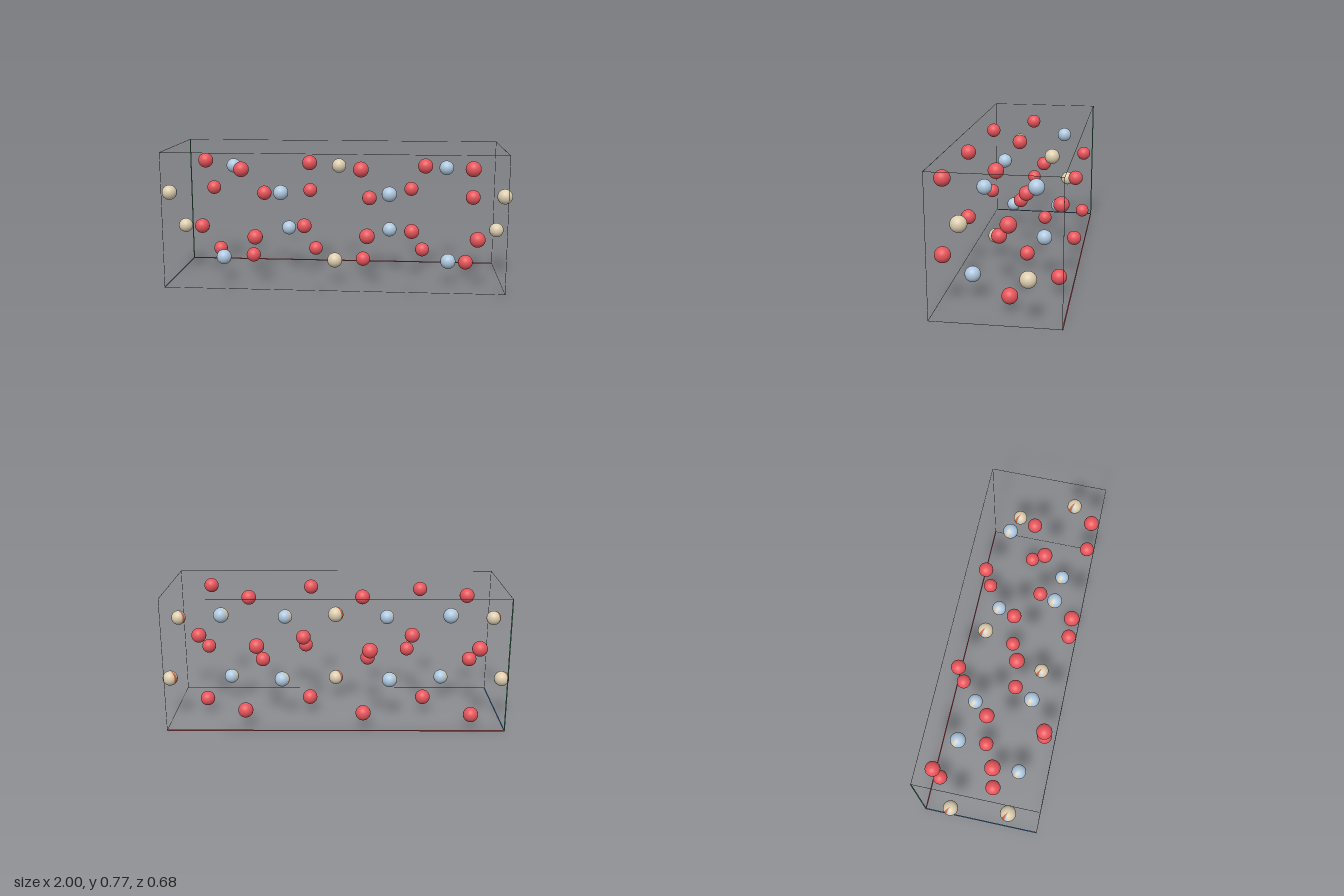
import * as THREE from 'three';

const paint = (name, color) => {
  const m = new THREE.MeshStandardMaterial({ color });
  m.name = name;
  return m;
};

export function createModel() {
  const model = new THREE.Group();
  model.name = 'crystalCell';
  const red = paint('red', 0xe6555b);
  const blue = paint('paleBlue', 0xafc8df);
  const tan = paint('tan', 0xdccdaf);
  const orange = paint('orange', 0xc8663c);
  const edge = paint('grey', 0x555555);
  const axisRed = paint('axisRed', 0xc9505a);
  const axisGreen = paint('axisGreen', 0x4f9a6c);
  const axisBlue = paint('axisBlue', 0x4f86bd);

  const R = 0.043;
  const whole = new THREE.SphereGeometry(R, 32, 24);
  const add = (parent, geometry, material, name) => {
    const mesh = new THREE.Mesh(geometry, material);
    mesh.name = name;
    parent.add(mesh);
    return mesh;
  };

  // Mixed sites: spheres cut like an orange into coloured sectors, [material, share]
  const mixedAtom = (name, shares, x, y, z) => {
    const atom = new THREE.Group();
    atom.name = name;
    let start = 0;
    for (const [material, share] of shares) {
      const sweep = share * Math.PI * 2;
      const sector = new THREE.SphereGeometry(R, Math.ceil(share * 36), 24, start, sweep);
      add(atom, sector, material, name + 'Sector');
      start += sweep;
    }
    atom.position.set(x, y, z);
    model.add(atom);
  };
  const blueAtom = (x, y, z) => mixedAtom('blueAtom', [[blue, 0.89], [tan, 0.11]], x, y, z);
  const tanAtom = (x, y, z) =>
    mixedAtom('tanAtom', [[tan, 0.88], [orange, 0.07], [blue, 0.05]], x, y, z);

  // Red atoms: x, y, z
  const redSites = [
    [-0.80, 0.477, -0.291], [-0.80, 0.301, 0.046],
    [-0.768, 0.694, 0.046], [-0.768, 0.083, -0.291],
    [-0.515, 0.676, 0.273], [-0.515, 0.101, -0.065],
    [-0.443, 0.485, -0.065], [-0.443, 0.291, 0.273],
    [-0.19, 0.466, -0.291], [-0.19, 0.31, 0.046],
    [-0.156, 0.685, 0.046], [-0.156, 0.093, -0.291],
    [0.154, 0.685, 0.294], [0.154, 0.093, -0.045],
    [0.19, 0.466, -0.045], [0.19, 0.31, 0.294],
    [0.441, 0.485, -0.271], [0.441, 0.291, 0.068],
    [0.514, 0.676, 0.068], [0.514, 0.101, -0.271],
    [0.766, 0.694, 0.294], [0.766, 0.083, -0.045],
    [0.80, 0.477, -0.045], [0.80, 0.301, 0.294],
  ];
  for (const p of redSites) add(model, whole, red, 'redAtom').position.set(...p);

  // Blue and tan atoms alternate between a front and a back layer
  for (const s of [-1, 1]) {
    const dz = s * 0.004;
    blueAtom(s * 0.648, 0.634, -0.169 + dz);
    blueAtom(s * 0.648, 0.144, 0.169 + dz);
    blueAtom(s * 0.31, 0.528, 0.169 + dz);
    blueAtom(s * 0.31, 0.25, -0.169 + dz);
    tanAtom(s * 0.957, 0.522, 0.17);
    tanAtom(s * 0.957, 0.256, -0.168);
  }
  tanAtom(0, 0.64, -0.168);
  tanAtom(0, 0.138, 0.17);

  // Cell frame: nine thin rods and three thicker coloured axes
  const half = [0.956, 0.385, 0.338];
  const centreY = half[1] + 0.0035;
  const axes = [axisRed, axisGreen, axisBlue];
  const names = ['lengthAxis', 'heightAxis', 'depthAxis'];
  for (let a = 0; a < 3; a++) {
    const b = (a + 1) % 3, c = (a + 2) % 3;
    for (const sb of [-1, 1]) for (const sc of [-1, 1]) {
      const isAxis = sb < 0 && sc < 0;
      const r = isAxis ? 0.0035 : 0.0012;
      const rod = new THREE.CylinderGeometry(r, r, half[a] * 2, 12);
      if (a === 0) rod.rotateZ(-Math.PI / 2);
      if (a === 2) rod.rotateX(Math.PI / 2);
      const pos = [0, 0, 0];
      pos[b] = sb * half[b];
      pos[c] = sc * half[c];
      const bar = add(model, rod, isAxis ? axes[a] : edge, isAxis ? names[a] : 'cellEdge');
      bar.position.set(pos[0], pos[1] + centreY, pos[2]);
    }
  }
  return model;
}
